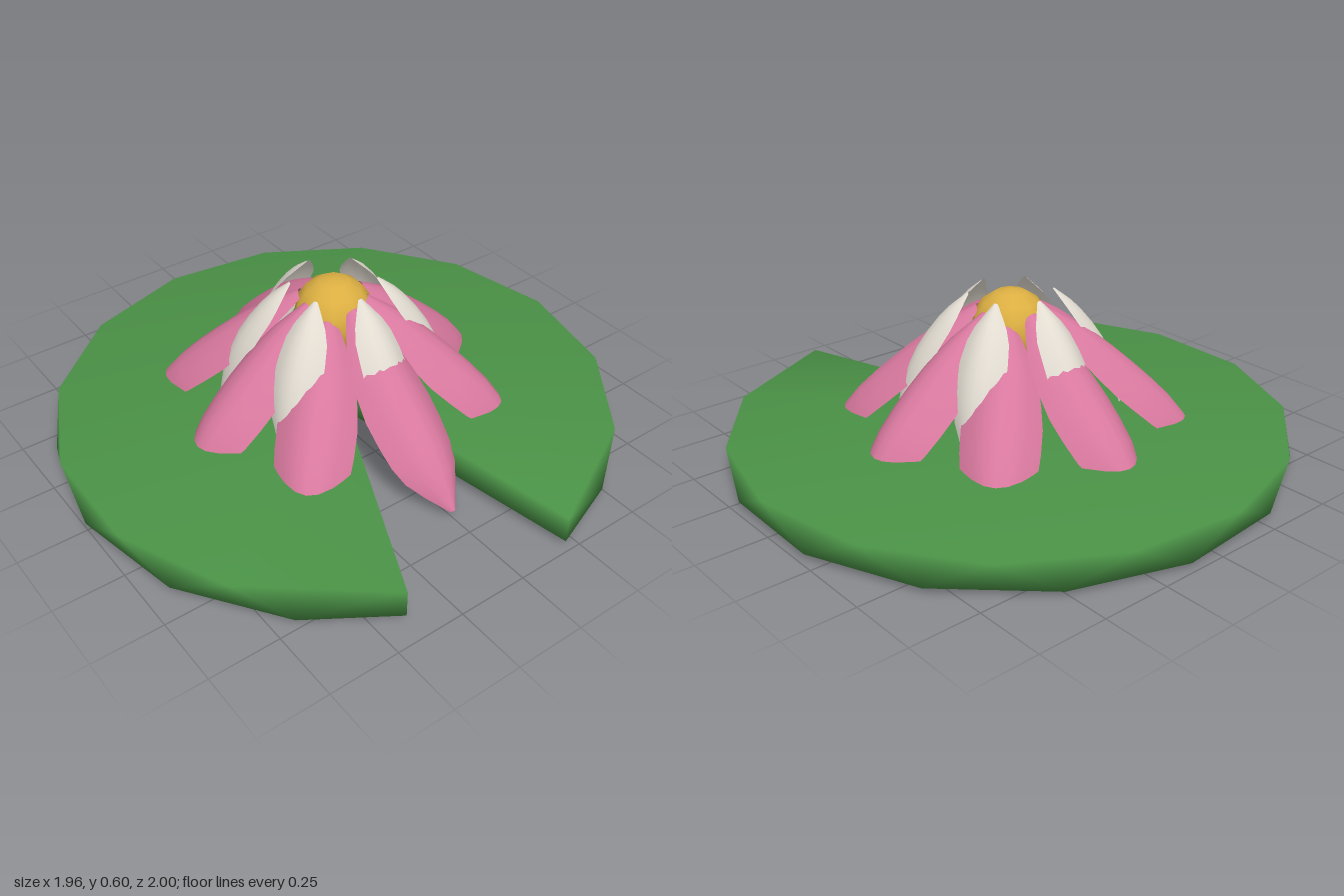
import * as THREE from 'three';

const flat = (name, color, side = THREE.FrontSide) => {
  const m = new THREE.MeshStandardMaterial({ color, side });
  m.name = name;
  return m;
};

function indexed(positions, index) {
  const g = new THREE.BufferGeometry();
  g.setAttribute('position', new THREE.Float32BufferAttribute(positions, 3));
  g.setIndex(index);
  g.computeVertexNormals();
  return g;
}

// Notched leaf disc: raised centre, upper and lower rims offset by half a step
function padGeometry() {
  const start = 12, end = 336.3;
  const pos = [0.01, 0.17, 0, 0.01, 0.06, 0];
  const index = [];
  const rim = [];
  const addRim = (deg, y) => {
    const a = THREE.MathUtils.degToRad(deg);
    pos.push(0.005 + 0.995 * Math.cos(a), y, -Math.sin(a));
    rim.push(pos.length / 3 - 1);
  };
  // rim alternates upper, lower, upper, lower ... with both at each notch edge
  addRim(start, 0.02);
  addRim(start, 0.12);
  for (let d = 29, k = 0; d <= 317; d += 12, k++) addRim(d, k % 2 ? 0.12 : 0.02);
  addRim(end, 0.12);
  addRim(end, 0.02);
  const n = rim.length;
  for (let i = 0; i + 2 < n; i++) {
    const [a, b, c] = [rim[i], rim[i + 1], rim[i + 2]];
    if (i % 2) {
      index.push(a, b, c, 0, a, c); // upper rim edge and top sector
    } else {
      index.push(a, c, b, 1, c, a); // lower rim edge and bottom sector
    }
  }
  // notch walls
  index.push(1, rim[0], rim[1], 1, rim[1], 0);
  index.push(1, rim[n - 2], rim[n - 1], 1, 0, rim[n - 2]);
  return indexed(pos, index);
}

// Arched petal running outward along +x; path = [radius, height], widths = half widths
function petalGeometry(path, widths, arch) {
  const curve = new THREE.CatmullRomCurve3(path.map(([r, y]) => new THREE.Vector3(r, y, 0)));
  const rows = 10, cols = 6, pos = [], index = [];
  for (let i = 0; i <= rows; i++) {
    const t = i / rows;
    const p = curve.getPoint(t);
    const d = curve.getTangent(t);
    const f = t * (widths.length - 1);
    const k = Math.min(Math.floor(f), widths.length - 2);
    const w = THREE.MathUtils.lerp(widths[k], widths[k + 1], f - k);
    for (let j = 0; j <= cols; j++) {
      const s = (2 * j) / cols - 1;
      const drop = arch * w * s * s;
      pos.push(p.x + d.y * drop, p.y - d.x * drop, w * s);
      if (i < rows && j < cols) {
        const a = i * (cols + 1) + j, b = a + cols + 1;
        index.push(a, a + 1, b, a + 1, b + 1, b);
      }
    }
  }
  return indexed(pos, index);
}

export function createModel() {
  const model = new THREE.Group();
  const green = flat('leaf green', 0x4a9146);
  const pink = flat('petal pink', 0xd9799f, THREE.DoubleSide);
  const cream = flat('petal cream', 0xe2dcd1, THREE.DoubleSide);
  const gold = flat('centre gold', 0xdcaf42);

  const add = (name, geometry, material) => {
    const mesh = new THREE.Mesh(geometry, material);
    mesh.name = name;
    model.add(mesh);
    return mesh;
  };

  add('lilyPad', padGeometry(), green);

  // Eight drooping outer petals; reach varies a little, two dip through the pad
  const outer = petalGeometry(
    [[0.12, 0.54], [0.26, 0.46], [0.42, 0.335], [0.58, 0.18], [0.67, 0.035]],
    [0.03, 0.085, 0.12, 0.135, 0.132, 0.1, 0.012], 0.65);
  const reach = [1, 1, 0.94, 1.02, 0.98, 1, 0.97, 0.99];
  reach.forEach((s, i) => {
    const petal = add('outerPetal', outer, pink);
    petal.rotation.y = -i * Math.PI / 4;
    petal.scale.x = s;
    if (i === 1 || i === 5) petal.position.y = -0.03;
  });

  // Six steeper inner petals
  const inner = petalGeometry(
    [[0.15, 0.595], [0.23, 0.53], [0.33, 0.4], [0.385, 0.27], [0.41, 0.13]],
    [0.008, 0.05, 0.08, 0.088, 0.085, 0.065, 0.015], 0.5);
  for (let i = 0; i < 6; i++) {
    add('innerPetal', inner, cream).rotation.y = -i * Math.PI / 3;
  }

  // Rounded flower centre
  add('flowerCentre', new THREE.SphereGeometry(0.14, 10, 8), gold).position.y = 0.46;

  return model;
}
